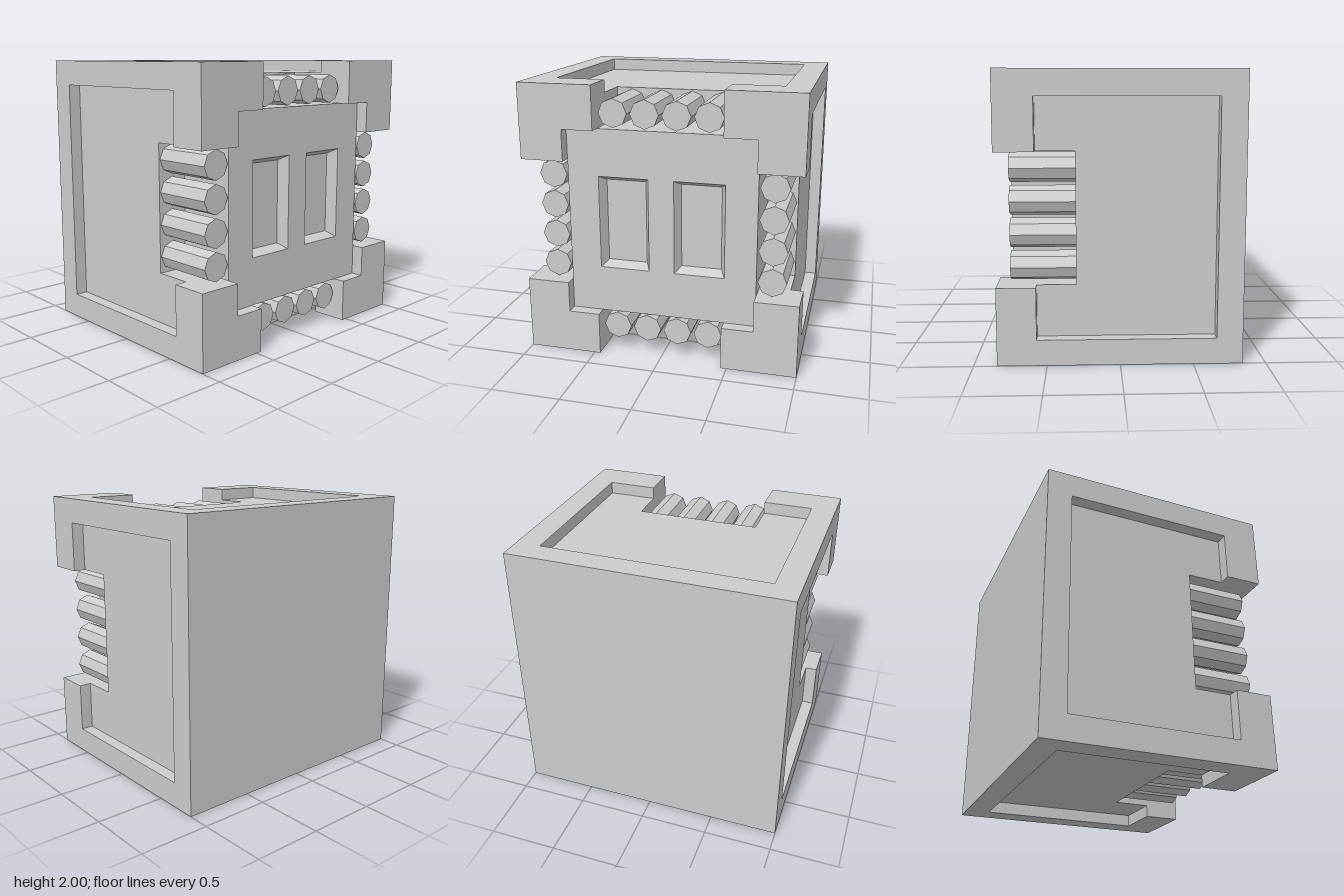
import * as THREE from 'three';

const material = new THREE.MeshStandardMaterial({ color: 0xcccccc, flatShading: true });
const OUT = 1, PANEL = 0.91, RIM = 0.82, SLOT = 0.457, PLATE = 0.685;
const Z = { back: -0.84, rim: -0.66, slot: 0.3, lip: 0.57, windowFloor: 0.675, plate: 0.75, front: 0.84 };
const WINDOW = { x: 0.2755, hw: 0.1825, hh: 0.342, inset: 0.037 };

// Repeat the outline of one side around all four sides
function fourSided(side) {
  const points = [];
  let turn = side;
  for (let i = 0; i < 4; i++) {
    points.push(...turn.map(([x, y]) => new THREE.Vector2(x, y)));
    turn = turn.map(([x, y]) => [-y, x]);
  }
  return new THREE.Shape(points);
}

// Extrude a cross-section between two depths
function slice(shape, z0, z1) {
  const geometry = new THREE.ExtrudeGeometry(shape, { depth: z1 - z0, bevelEnabled: false });
  return geometry.translate(0, 0, z0);
}

const rectangle = (cx, hw, hh) =>
  [[cx - hw, -hh], [cx + hw, -hh], [cx + hw, hh], [cx - hw, hh]];

// Four sloping walls that narrow towards the window floor
function windowWalls(cx) {
  const { hw, hh, inset } = WINDOW;
  const outer = rectangle(cx, hw, hh).map(p => [...p, Z.plate]);
  const inner = rectangle(cx, hw - inset, hh - inset).map(p => [...p, Z.windowFloor]);
  const positions = [];
  for (let i = 0; i < 4; i++) {
    const j = (i + 1) % 4;
    for (const p of [outer[i], outer[j], inner[j], outer[i], inner[j], inner[i]]) positions.push(...p);
  }
  const geometry = new THREE.BufferGeometry();
  geometry.setAttribute('position', new THREE.Float32BufferAttribute(positions, 3));
  geometry.computeVertexNormals();
  return geometry;
}

export function createModel() {
  const model = new THREE.Group();
  model.name = 'block';
  const body = new THREE.Group();
  body.name = 'body';
  body.position.y = 1;
  model.add(body);

  const add = (name, geometry, parent = body) => {
    const mesh = new THREE.Mesh(geometry, material);
    mesh.name = name;
    parent.add(mesh);
    return mesh;
  };

  // Solid back and the core with sunken side panels
  add('backSlab', slice(fourSided([[OUT, OUT]]), Z.back, Z.rim));
  add('panelCore', slice(fourSided([
    [OUT, -RIM], [PANEL, -RIM], [PANEL, RIM], [OUT, RIM], [OUT, OUT],
  ]), Z.rim, Z.slot));
  add('slottedCore', slice(fourSided([
    [OUT, -RIM], [PANEL, -RIM], [PANEL, -SLOT], [PLATE, -SLOT],
    [PLATE, SLOT], [PANEL, SLOT], [PANEL, RIM], [OUT, RIM], [OUT, OUT],
  ]), Z.slot, Z.lip));

  // Notched front, with two window openings in its outer layer
  const notched = [[OUT, -SLOT], [PLATE, -SLOT], [PLATE, SLOT], [OUT, SLOT], [OUT, OUT]];
  add('notchedFront', slice(fourSided(notched), Z.lip, Z.windowFloor));
  const plate = fourSided(notched);
  for (const side of [-1, 1]) {
    const hole = rectangle(side * WINDOW.x, WINDOW.hw, WINDOW.hh).reverse();
    plate.holes.push(new THREE.Path(hole.map(([x, y]) => new THREE.Vector2(x, y))));
    add(side < 0 ? 'rightWindow' : 'leftWindow', windowWalls(side * WINDOW.x));
  }
  add('frontPlate', slice(plate, Z.windowFloor, Z.plate));

  // Raised L-shaped corners
  const corner = new THREE.Shape([
    [PLATE, SLOT], [OUT, SLOT], [OUT, OUT], [SLOT, OUT], [SLOT, PLATE], [PLATE, PLATE],
  ].map(([x, y]) => new THREE.Vector2(x, y)));
  for (let i = 0; i < 4; i++) {
    add('cornerBlock', slice(corner, Z.plate, Z.front)).rotation.z = i * Math.PI / 2;
  }

  // A row of four octagonal rods in the slot on each side
  const length = Z.plate - Z.slot;
  const rod = new THREE.CylinderGeometry(0.103, 0.103, length, 8)
    .rotateX(Math.PI / 2)
    .translate(0.797, 0, Z.slot + length / 2);
  for (let i = 0; i < 4; i++) {
    const row = new THREE.Group();
    row.name = 'rodRow';
    row.rotation.z = i * Math.PI / 2;
    body.add(row);
    for (let k = 0; k < 4; k++) add('rod', rod, row).position.y = (k - 1.5) * 0.2275;
  }
  return model;
}
